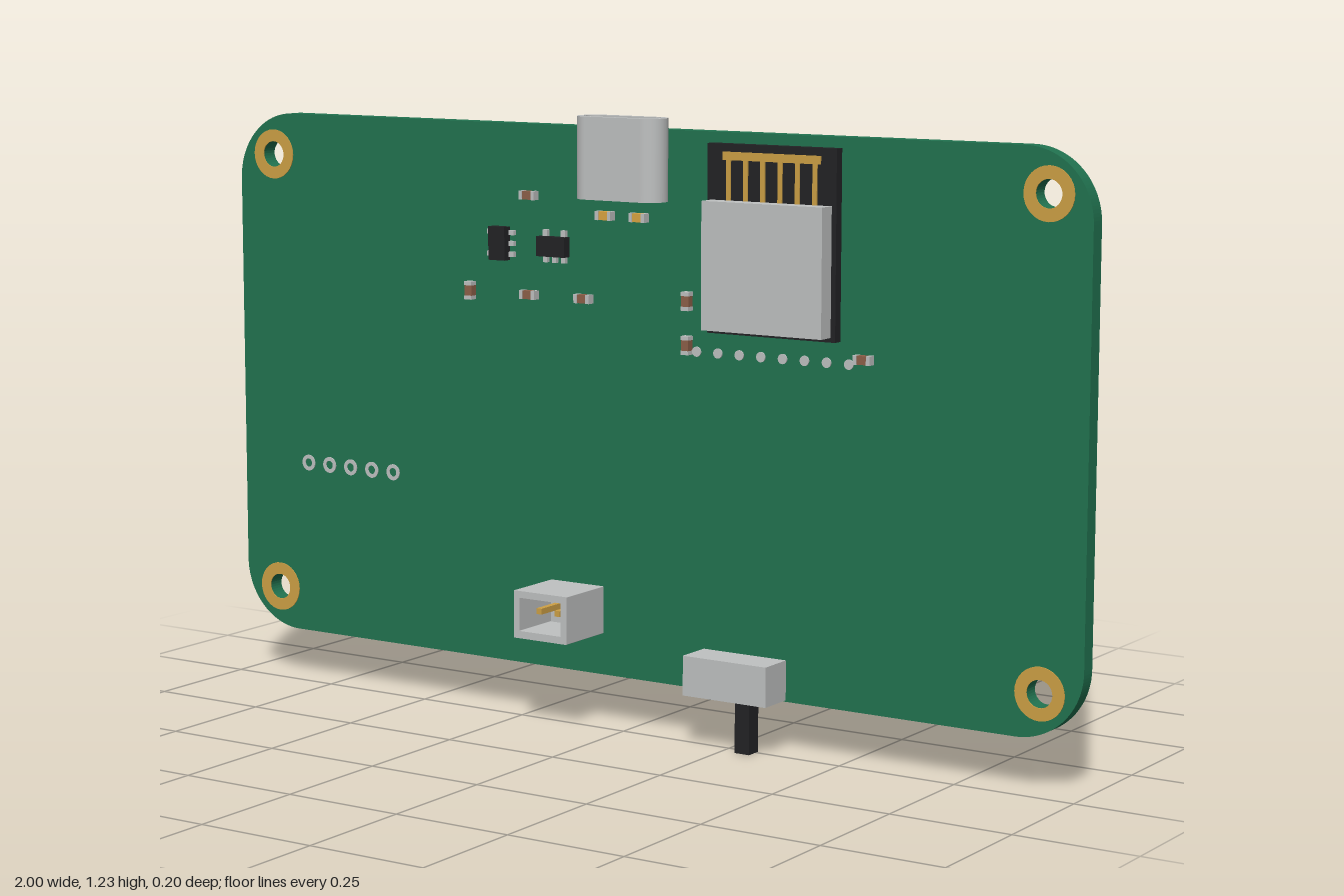
import * as THREE from 'three';

const mat = (name, color) => Object.assign(new THREE.MeshStandardMaterial({ color }), { name });

export function createModel() {
  const root = new THREE.Group();
  root.name = 'circuitBoard';
  const green = mat('board green', 0x217350);
  const silver = mat('silver', 0xbfc1c1);
  const black = mat('black', 0x222325);
  const gold = mat('gold', 0xcda045);
  const brown = mat('component brown', 0x8c5f48);
  const tan = mat('diode amber', 0xd9a441);
  const FRONT = -0.032, BACK = -0.066; // board faces

  const add = (name, geo, material, parent = root) => {
    const m = new THREE.Mesh(geo, material);
    m.name = name;
    parent.add(m);
    return m;
  };
  // box given by its limits on each axis
  const box = (name, material, x0, x1, y0, y1, z0, z1, parent = root) => {
    const m = add(name, new THREE.BoxGeometry(x1 - x0, y1 - y0, z1 - z0), material, parent);
    m.position.set((x0 + x1) / 2, (y0 + y1) / 2, (z0 + z1) / 2);
    return m;
  };
  const circle = (P, x, y, r) => new P().absarc(x, y, r, 0, Math.PI * 2, false);
  const roundRect = (P, x0, x1, y0, y1, r) => {
    const p = new P();
    p.absarc(x1 - r, y0 + r, r, -Math.PI / 2, 0, false);
    p.absarc(x1 - r, y1 - r, r, 0, Math.PI / 2, false);
    p.absarc(x0 + r, y1 - r, r, Math.PI / 2, Math.PI, false);
    p.absarc(x0 + r, y0 + r, r, Math.PI, Math.PI * 1.5, false);
    p.closePath();
    return p;
  };
  const extrude = (shape, depth) =>
    new THREE.ExtrudeGeometry(shape, { depth, bevelEnabled: false, curveSegments: 16 });
  const ring = (name, material, x, y, outer, inner, h) => {
    const s = circle(THREE.Shape, x, y, outer);
    s.holes.push(circle(THREE.Path, x, y, inner));
    add(name, extrude(s, h), material).position.z = FRONT;
  };

  // Board with four mounting holes and their gold rings
  const outline = roundRect(THREE.Shape, -1, 1, 0.102, 1.21, 0.14);
  for (const x of [-0.91, 0.91]) for (const y of [0.19, 1.123]) {
    outline.holes.push(circle(THREE.Path, x, y, 0.027));
    ring('mountingRing', gold, x, y, 0.052, 0.027, 0.002);
  }
  add('board', extrude(outline, FRONT - BACK), green).position.z = BACK;

  // Row of through-hole rings, row of solder dots
  for (let i = 0; i < 5; i++) ring('headerRing', silver, -0.827 + i * 0.0565, 0.468, 0.017, 0.009, 0.002);
  for (let i = 0; i < 8; i++)
    add('solderDot', extrude(circle(THREE.Shape, 0.152 + i * 0.049, 0.778, 0.01), 0.003), silver).position.z = FRONT;

  // Socket on the top edge: hollow shell, floor, tongue and contacts
  const usb = new THREE.Group();
  usb.name = 'edgeSocket';
  root.add(usb);
  const shellShape = roundRect(THREE.Shape, -0.1, 0.1, -0.036, 0.036, 0.0355);
  shellShape.holes.push(roundRect(THREE.Path, -0.086, 0.086, -0.022, 0.022, 0.0215));
  const shell = add('socketShell', extrude(shellShape, 0.163), silver, usb);
  shell.rotation.x = -Math.PI / 2;
  shell.position.set(0, 1.071, 0.004);
  const floor = add('socketFloor', extrude(roundRect(THREE.Shape, -0.087, 0.087, -0.023, 0.023, 0.0225), 0.02), silver, usb);
  floor.rotation.x = -Math.PI / 2;
  floor.position.set(0, 1.072, 0.004);
  box('socketTongue', black, -0.075, 0.075, 1.085, 1.222, -0.005, 0.013, usb);
  for (let i = 0; i < 8; i++) {
    const x = -0.063 + i * 0.018;
    box('socketContact', gold, x - 0.004, x + 0.004, 1.12, 1.21, -0.007, 0.015, usb);
  }

  // Radio module: dark carrier, metal shield, comb-shaped antenna
  const radio = new THREE.Group();
  radio.name = 'radioModule';
  root.add(radio);
  box('moduleCarrier', black, 0.187, 0.475, 0.82, 1.189, FRONT, -0.012, radio);
  box('moduleShield', silver, 0.196, 0.465, 0.829, 1.08, -0.012, 0.024, radio);
  box('antennaBar', gold, 0.223, 0.441, 1.158, 1.174, -0.013, -0.009, radio);
  for (let i = 0; i < 6; i++) {
    const x = 0.236 + i * 0.0385;
    box('antennaTooth', gold, x - 0.005, x + 0.005, 1.07, 1.16, -0.013, -0.009, radio);
  }

  // Two-pin connector: open housing with pins through the board
  const plug = new THREE.Group();
  plug.name = 'batteryConnector';
  root.add(plug);
  const housing = roundRect(THREE.Shape, -0.198, -0.07, 0.187, 0.284, 0.001);
  housing.holes.push(roundRect(THREE.Path, -0.184, -0.084, 0.202, 0.27, 0.001));
  add('connectorWalls', extrude(housing, 0.1 - FRONT), silver, plug).position.z = FRONT;
  box('connectorFloor', silver, -0.19, -0.078, 0.195, 0.277, FRONT, -0.01, plug);
  for (const x of [-0.157, -0.113]) box('connectorPin', gold, x - 0.006, x + 0.006, 0.234, 0.246, -0.1, 0.07, plug);

  // Slide switch with lever below the board edge
  box('switchBody', silver, 0.17, 0.36, 0.105, 0.185, FRONT, 0.045);
  box('switchLever', black, 0.279, 0.312, 0, 0.106, -0.008, 0.026);

  // Small two-ended components
  const chip = (x, y, upright, body = brown) => {
    const g = new THREE.Group();
    g.name = 'smallComponent';
    box('componentBody', body, -0.011, 0.011, -0.0085, 0.0085, 0, 0.016, g);
    for (const s of [-1, 1])
      box('componentEnd', silver, s * 0.0145 - 0.004, s * 0.0145 + 0.004, -0.009, 0.009, 0, 0.017, g);
    g.position.set(x, y, FRONT);
    if (upright) g.rotation.z = Math.PI / 2;
    root.add(g);
  };
  for (const [x, y, up] of [[-0.245, 1.067], [-0.392, 0.866, true], [-0.245, 0.866], [-0.112, 0.866],
    [0.133, 0.877, true], [0.133, 0.79, true], [0.53, 0.79]]) chip(x, y, up);
  for (const x of [-0.06, 0.02]) chip(x, 1.035, false, tan);

  // Five-legged regulators
  const regulator = (x, y, angle) => {
    const g = new THREE.Group();
    g.name = 'regulator';
    box('regulatorBody', black, -0.034, 0.034, -0.02, 0.02, 0.003, 0.023, g);
    for (const [lx, side] of [[-0.022, 1], [0.022, 1], [-0.022, -1], [0, -1], [0.022, -1]]) {
      box('regulatorLeg', silver, lx - 0.005, lx + 0.005, side * 0.0255 - 0.0075, side * 0.0255 + 0.0075, 0, 0.009, g);
    }
    g.position.set(x, y, FRONT);
    g.rotation.z = angle;
    root.add(g);
  };
  regulator(-0.315, 0.967, Math.PI / 2);
  regulator(-0.183, 0.967, 0);

  return root;
}
